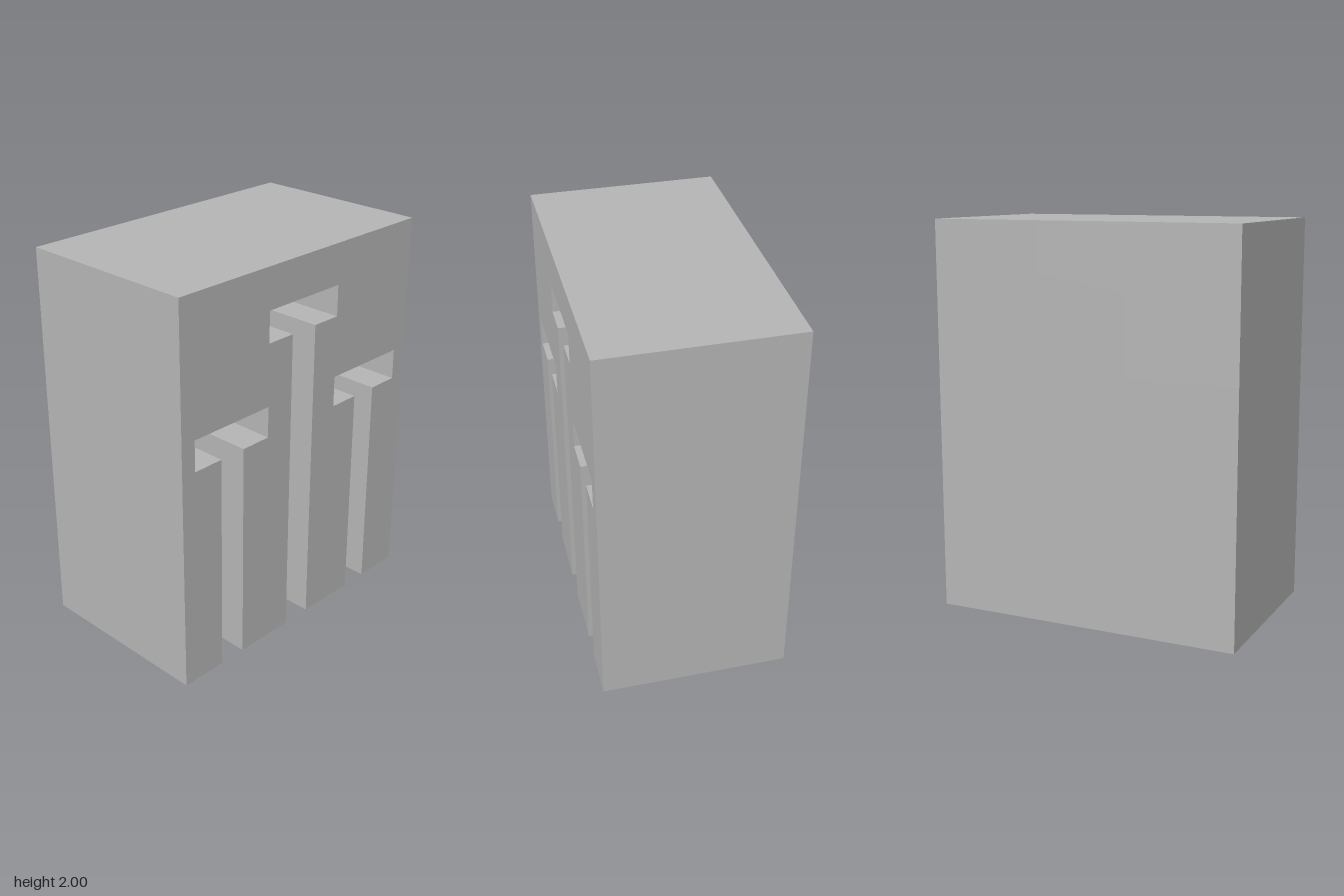
import * as THREE from 'three';
import { toCreasedNormals } from 'three/addons/utils/BufferGeometryUtils.js';

const HEIGHT = 2, HALF_X = 0.48, HALF_Z = 0.8, POCKET_HALF = 0.24;

// Each slot: centre c, column limits a..b, shaft radius r, countersink radius R, heights
const side = { r: 0.073, R: 0.182, floor: 1.15, neck: 1.19, rim: 1.27, ceiling: 1.31 };
const slots = [
  { ...side, c: -0.48, a: -HALF_Z, b: -0.24 },
  { c: 0, a: -0.24, b: 0.24, r: 0.08, R: 0.207, floor: 1.63, neck: 1.67, rim: 1.75, ceiling: 1.79 },
  { ...side, c: 0.48, a: 0.24, b: HALF_Z },
];

// Plan of one back column with a half-round notch, extruded upward from y0 to y1
function notchedColumn({ a, b, c, r }, y0, y1, topRadius) {
  const plan = new THREE.Shape();
  plan.moveTo(-HALF_X, a);
  plan.lineTo(0, a);
  plan.absarc(0, c, r, -Math.PI / 2, Math.PI / 2, true);
  plan.lineTo(0, b);
  plan.lineTo(-HALF_X, b);
  plan.closePath();
  const geo = new THREE.ExtrudeGeometry(plan, { depth: y1 - y0, bevelEnabled: false, curveSegments: 32 });

  // Flare the top of the notch into a countersink
  const p = geo.attributes.position;
  for (let i = 0; i < p.count; i++) {
    const dx = p.getX(i), dy = p.getY(i) - c;
    if (p.getZ(i) > 1e-4 && Math.abs(Math.hypot(dx, dy) - r) < 1e-3) {
      p.setXY(i, dx * topRadius / r, c + dy * topRadius / r);
    }
  }
  geo.rotateX(-Math.PI / 2).translate(0, y0, 0);
  return toCreasedNormals(geo, 0.5);
}

export function createModel() {
  const group = new THREE.Group();
  const grey = new THREE.MeshStandardMaterial({ color: 0xb4b4b4 });
  grey.name = 'grey';
  const add = (name, geo) => {
    const mesh = new THREE.Mesh(geo, grey);
    mesh.name = name;
    group.add(mesh);
  };

  // Open half of the block, with T-shaped slots running up from the base
  const outline = new THREE.Shape();
  outline.moveTo(-HALF_Z, 0);
  for (const { c, r, floor, ceiling } of slots) {
    outline.lineTo(c - r, 0);
    outline.lineTo(c - r, floor);
    outline.lineTo(c - POCKET_HALF, floor);
    outline.lineTo(c - POCKET_HALF, ceiling);
    outline.lineTo(c + POCKET_HALF, ceiling);
    outline.lineTo(c + POCKET_HALF, floor);
    outline.lineTo(c + r, floor);
    outline.lineTo(c + r, 0);
  }
  outline.lineTo(HALF_Z, 0);
  outline.lineTo(HALF_Z, HEIGHT);
  outline.lineTo(-HALF_Z, HEIGHT);
  outline.closePath();
  const front = new THREE.ExtrudeGeometry(outline, { depth: HALF_X, bevelEnabled: false });
  add('slottedHalf', front.rotateY(Math.PI / 2));

  // Closed half: a shaft groove, a countersink and a solid top for each slot
  for (const s of slots) {
    add('shaftGroove', notchedColumn(s, 0, s.neck, s.r));
    add('countersink', notchedColumn(s, s.neck, s.rim, s.R));
    const top = new THREE.BoxGeometry(HALF_X, HEIGHT - s.rim, s.b - s.a);
    top.translate(-HALF_X / 2, (HEIGHT + s.rim) / 2, -(s.a + s.b) / 2);
    add('solidTop', top);
  }
  return group;
}
